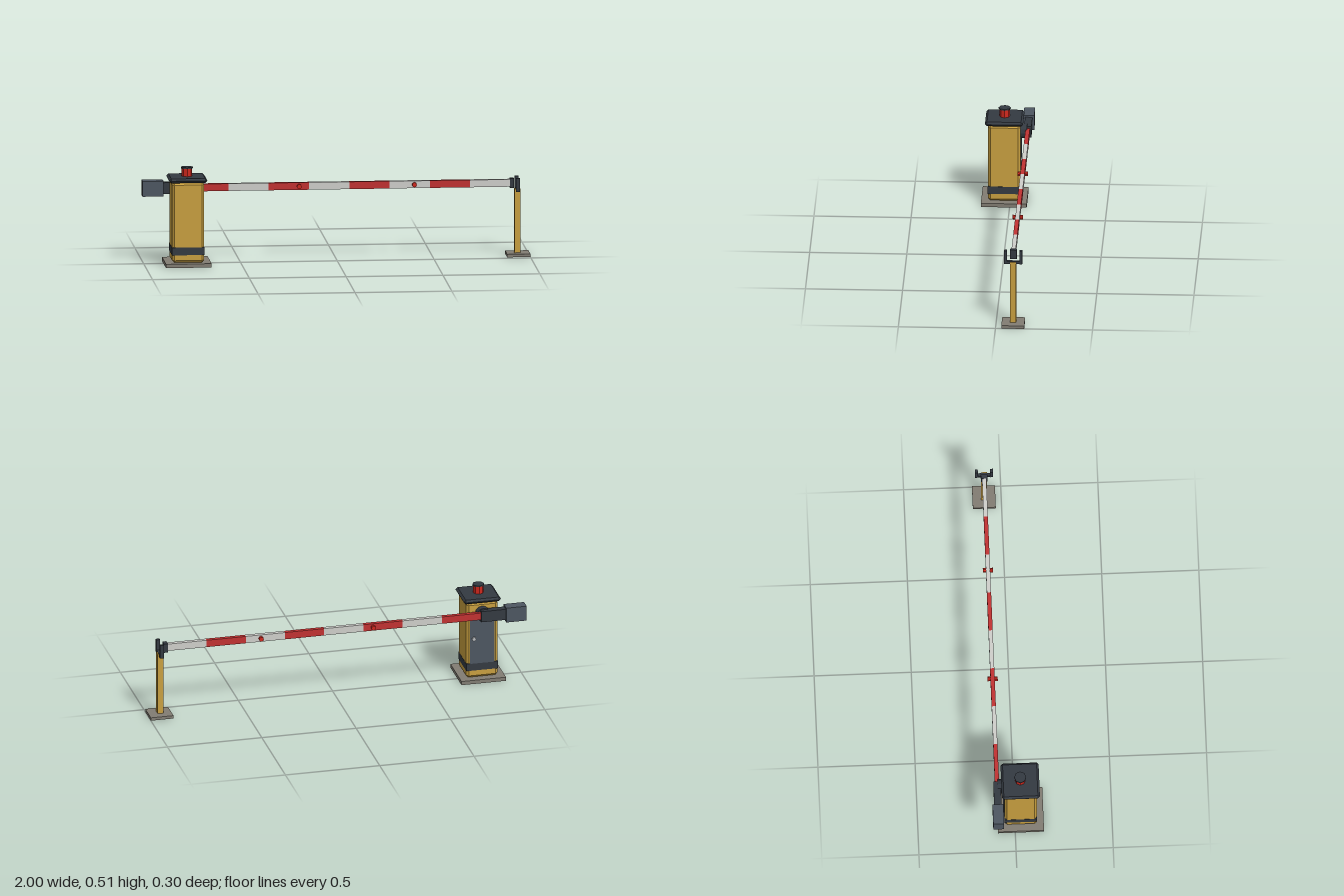
import * as THREE from 'three';
import { ConvexGeometry } from 'three/addons/geometries/ConvexGeometry.js';

const mat = (name, color) => {
  const m = new THREE.MeshStandardMaterial({ color });
  m.name = name;
  m.flatShading = true;
  return m;
};

// Box with every edge cut by c
function chamferBox(w, h, d, c) {
  const x = w / 2, y = h / 2, z = d / 2, pts = [];
  for (const i of [-1, 1]) for (const j of [-1, 1]) for (const k of [-1, 1]) {
    pts.push(
      new THREE.Vector3(i * x, j * (y - c), k * (z - c)),
      new THREE.Vector3(i * (x - c), j * y, k * (z - c)),
      new THREE.Vector3(i * (x - c), j * (y - c), k * z));
  }
  return new ConvexGeometry(pts);
}

export function createModel() {
  const yellow = mat('yellow paint', 0xc9a040);
  const dark = mat('dark metal', 0x343a42);
  const slate = mat('slate metal', 0x4e5762);
  const concrete = mat('concrete', 0x827d73);
  const red = mat('stripe red', 0xc23232);
  const lampRed = mat('lamp red', 0xd0281e);
  const white = mat('stripe white', 0xcfcfcb);
  const steel = mat('steel', 0xb8bcc0);

  const model = new THREE.Group();
  model.name = 'barrierGate';

  const add = (parent, name, geometry, material, x, y, z) => {
    const mesh = new THREE.Mesh(geometry, material);
    mesh.name = name;
    mesh.position.set(x, y, z);
    parent.add(mesh);
    return mesh;
  };
  // Box given by its limits on each axis
  const box = (parent, name, material, [x0, x1], [y0, y1], [z0, z1]) =>
    add(parent, name, new THREE.BoxGeometry(x1 - x0, y1 - y0, z1 - z0), material,
      (x0 + x1) / 2, (y0 + y1) / 2, (z0 + z1) / 2);
  // Cylinder lying along z
  const pin = (parent, name, material, r, length, sides, x, y, z) =>
    add(parent, name, new THREE.CylinderGeometry(r, r, length, sides).rotateX(Math.PI / 2), material, x, y, z);
  const group = (name) => {
    const g = new THREE.Group();
    g.name = name;
    model.add(g);
    return g;
  };

  const cx = -0.78, cz = 0.03;     // cabinet centre
  const ay = 0.379, az = -0.089;   // arm axis

  // Cabinet
  const cabinet = group('cabinet');
  box(cabinet, 'cabinetBase', concrete, [cx - 0.118, cx + 0.118], [0, 0.02], [cz - 0.118, cz + 0.118]);
  add(cabinet, 'cabinetBody', chamferBox(0.166, 0.417, 0.166, 0.012), yellow, cx, 0.2285, cz);
  box(cabinet, 'cabinetBand', dark, [cx - 0.084, cx + 0.084], [0.06, 0.1], [cz - 0.084, cz + 0.084]);
  add(cabinet, 'cabinetLid', chamferBox(0.196, 0.023, 0.196, 0.0105), dark, cx, 0.448, cz);
  box(cabinet, 'door', slate, [cx - 0.065, cx + 0.065], [0.1, 0.36], [-0.057, -0.05]);
  pin(cabinet, 'doorLock', steel, 0.011, 0.01, 8, cx + 0.045, 0.239, -0.061);

  // Warning lamp
  const lamp = group('warningLamp');
  add(lamp, 'lampLens', new THREE.CylinderGeometry(0.027, 0.027, 0.043, 8), lampRed, cx, 0.48, cz);
  add(lamp, 'lampCap', new THREE.CylinderGeometry(0.031, 0.031, 0.007, 8), dark, cx, 0.5035, cz);

  // Arm with pivot, clamp and counterweight
  const arm = group('arm');
  pin(arm, 'pivotHub', dark, 0.038, 0.034, 12, cx, ay, -0.069);
  box(arm, 'armClamp', dark, [-0.895, -0.763], [0.35, 0.409], [-0.108, -0.07]);
  box(arm, 'counterweight', slate, [-1, -0.892], [0.339, 0.419], [-0.117, -0.061]);
  const start = -0.763, step = 0.208;
  for (let i = 0; i < 8; i++) {
    const x = start + i * step;
    box(arm, 'armStripe', i % 2 ? white : red, [x, x + step], [ay - 0.019, ay + 0.019], [az - 0.011, az + 0.011]);
  }
  box(arm, 'armEndCap', dark, [0.899, 0.92], [0.354, 0.403], [az - 0.017, az + 0.017]);
  for (const x of [-0.19, 0.405]) pin(arm, 'reflector', lampRed, 0.0125, 0.053, 8, x, ay, az);

  // Rest post with fork
  const post = group('restPost');
  box(post, 'postBase', concrete, [0.88, 1], [0, 0.016], [az - 0.059, az + 0.059]);
  box(post, 'postColumn', yellow, [0.922, 0.953], [0.016, 0.348], [az - 0.0155, az + 0.0155]);
  box(post, 'forkBridge', dark, [0.929, 0.947], [0.337, 0.351], [az - 0.046, az + 0.046]);
  for (const s of [-1, 1]) {
    const z = az + s * 0.039;
    box(post, 'forkProng', dark, [0.928, 0.948], [0.337, 0.409], [z - 0.0075, z + 0.0075]);
  }
  return model;
}
